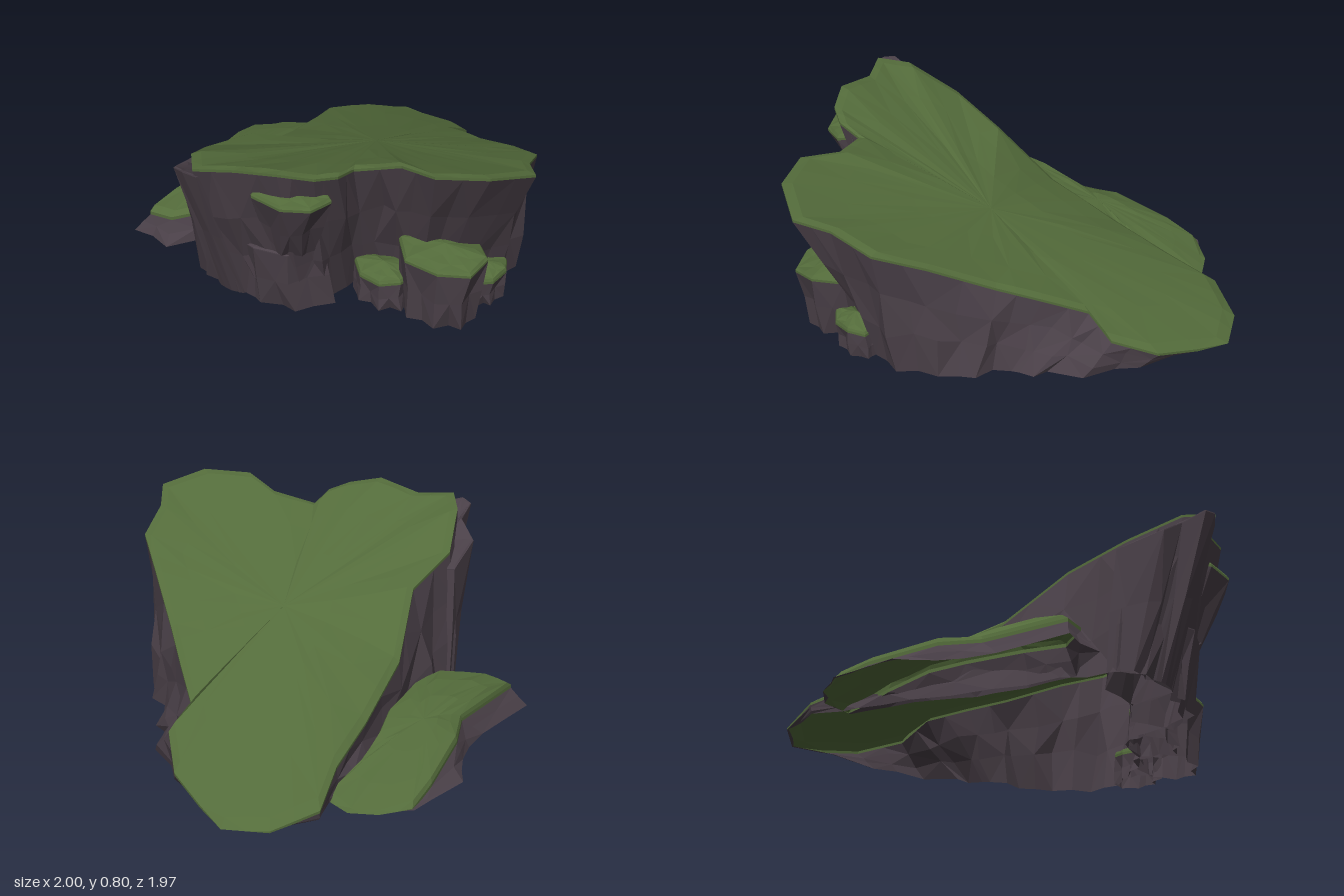
import * as THREE from 'three';

const rockMat = new THREE.MeshStandardMaterial({ color: 0x4a4048, flatShading: true, side: THREE.DoubleSide });
const grassMat = new THREE.MeshStandardMaterial({ color: 0x546c3b, flatShading: true, side: THREE.DoubleSide });

// Repeatable noise in -1..1
const noise = (i, j) => {
  const s = Math.sin(i * 127.1 + j * 311.7 + 4.2) * 43758.5453;
  return 2 * (s - Math.floor(s)) - 1;
};

// Joins closed rings of equal point count into a faceted skin
function skin(name, rings, material) {
  const n = rings[0].length, pos = [], index = [];
  rings.forEach(r => r.forEach(p => pos.push(...p)));
  for (let k = 0; k < rings.length - 1; k++) {
    for (let i = 0; i < n; i++) {
      const a = k * n + i, b = k * n + (i + 1) % n, c = a + n, d = b + n;
      if ((i + k) % 2) index.push(a, b, c, b, d, c);
      else index.push(a, b, d, a, d, c);
    }
  }
  const g = new THREE.BufferGeometry();
  g.setAttribute('position', new THREE.Float32BufferAttribute(pos, 3));
  g.setIndex(index);
  const flat = g.toNonIndexed();
  flat.computeVertexNormals();
  const mesh = new THREE.Mesh(flat, material);
  mesh.name = name;
  return mesh;
}

const mix = (a, b, t) => a.map((v, i) => v + (b[i] - v) * t);

// A rock with a turf cap. Outline rows: top x, y, z, then base x, z; front > left > back > right
function capped(name, rows, { centre, baseY = 0, rough = 0.02, lip = 0.012, capMat = grassMat, levels = [1, 0.5, 0], height }) {
  const top = [], base = [];
  const floor = p => [p[0], Math.max(baseY, p[1]), p[2]];
  rows.forEach((r, i) => {
    const s = rows[(i + 1) % rows.length];
    const t = r.slice(0, 3), b = [r[3], baseY, r[4]];
    const m = mix(t, s.slice(0, 3), 0.5 + 0.1 * noise(i, 1));
    const f = mix(b, [s[3], baseY, s[4]], 0.5 + 0.15 * noise(i, 3));
    // Midpoints cut in towards the centre to make vertical folds
    const fold = rough * (1.2 + noise(i, 4)) / (Math.hypot(f[0] - centre[0], f[2] - centre[2]) || 1);
    f[0] -= (f[0] - centre[0]) * fold;
    f[2] -= (f[2] - centre[2]) * fold;
    top.push(t, m);
    base.push(b, f);
  });
  const rim = top.map(p => floor([p[0], p[1] - lip, p[2]]));
  const under = rim.map(p => floor([p[0], p[1] - lip, p[2]]));

  // Side walls
  const walls = levels.map((t, k) => base.map((b, i) => {
    const p = mix(b, under[i], t);
    if (t > 0 && t < 1) {
      const h = rough * Math.min(1, (under[i][1] - baseY) / 0.2);
      p.forEach((v, j) => { p[j] = v + h * noise(i, 10 * j + k); });
    }
    return floor(p);
  })).reverse();

  // Turf: drooping lip, bevelled rim, then rings in to the centre
  const inner = [0.95, 0.72, 0.38, 0].map((s, k) => top.map((p, i) => {
    const q = mix(centre, p, s);
    if (height) q[1] = height(q[0], q[2]) + (p[1] - height(p[0], p[2])) * s * s;
    if (s) q[1] += 0.003 * noise(i, 40 + k);
    return q;
  }));
  const group = new THREE.Group();
  group.name = name;
  group.add(skin(name + 'Walls', walls, rockMat), skin(name + 'Cap', [under, rim, ...inner], capMat));
  return group;
}

// Small ledge: an irregular rounded block
function ledge(name, x, z, rx, rz, topY, baseY, taper, shift = [0, 0]) {
  const rows = [];
  for (let i = 0; i < 8; i++) {
    const a = (i + 0.5) / 8 * Math.PI * 2, r = 1.04 + 0.08 * noise(i, x * 9);
    const sx = Math.sin(a) * rx * r, sz = Math.cos(a) * rz * r;
    rows.push([x + sx, topY - 0.015 + 0.01 * noise(i, z * 7), z + sz, x + sx * taper + shift[0], z + sz * taper + shift[1]]);
  }
  return capped(name, rows, { centre: [x, topY + 0.015, z], baseY, rough: 0.015 });
}

export function createModel() {
  const model = new THREE.Group();
  model.name = 'grassyCliff';

  // Main cliff: a sloping turf ramp over leaning walls
  const cliff = [
    [-0.07, 0.775, 0.96, -0.08, 0.72], [0.06, 0.77, 0.85, 0.05, 0.68], [0.25, 0.805, 0.8, 0.2, 0.6],
    [0.36, 0.78, 0.7, 0.24, 0.5], [0.4, 0.76, 0.6, 0.25, 0.38], [0.38, 0.73, 0.48, 0.27, 0.28],
    [0.55, 0.77, 0.38, 0.36, 0.22], [0.74, 0.805, 0.4, 0.48, 0.2], [0.92, 0.81, 0.27, 0.58, 0.13],
    [1, 0.765, 0.07, 0.66, 0.02], [0.89, 0.72, -0.04, 0.72, -0.08], [0.81, 0.65, -0.21, 0.72, -0.23],
    [0.61, 0.56, -0.32, 0.6, -0.37], [0.35, 0.42, -0.46, 0.48, -0.48], [0.18, 0.34, -0.56, 0.33, -0.54],
    [0, 0.25, -0.66, 0.28, -0.63], [-0.01, 0.17, -0.8, 0.12, -0.77], [-0.18, 0.09, -0.92, -0.12, -0.87],
    [-0.54, 0, -0.99, -0.54, -0.98], [-0.7, 0.02, -0.87, -0.7, -0.86], [-0.78, 0.06, -0.66, -0.77, -0.66],
    [-0.68, 0.14, -0.46, -0.7, -0.46], [-0.6, 0.21, -0.2, -0.64, -0.22], [-0.48, 0.33, 0.14, -0.53, 0.12],
    [-0.34, 0.56, 0.38, -0.46, 0.42], [-0.31, 0.64, 0.66, -0.38, 0.64], [-0.18, 0.755, 0.86, -0.28, 0.72],
  ];
  model.add(capped('cliff', cliff, {
    centre: [0.05, 0.475, -0.05], levels: [1, 0.66, 0.33, 0],
    height: (x, z) => 0.48 + 0.257 * x + 0.336 * z,
  }));

  // Bare buttress at the front corner
  model.add(capped('buttress', [
    [-0.06, 0.73, 0.95, -0.06, 0.71], [-0.04, 0.64, 0.75, -0.04, 0.5], [-0.22, 0.54, 0.6, -0.25, 0.5],
    [-0.36, 0.57, 0.64, -0.39, 0.6], [-0.3, 0.63, 0.84, -0.34, 0.7], [-0.2, 0.7, 0.87, -0.24, 0.69],
    [-0.17, 0.74, 0.97, -0.18, 0.73], [-0.11, 0.75, 0.98, -0.12, 0.73],
  ], { centre: [-0.18, 0.62, 0.76], rough: 0.012, lip: 0.005, capMat: rockMat }));

  // Low outcrop beside the ramp
  model.add(capped('outcrop', [
    [-0.6, 0.13, 0.62, -0.57, 0.69], [-0.46, 0.16, 0.45, -0.43, 0.48], [-0.48, 0.18, 0.25, -0.45, 0.25],
    [-0.55, 0.17, 0, -0.5, 0.02], [-0.62, 0.14, -0.14, -0.58, -0.15], [-0.67, 0.08, -0.32, -0.63, -0.34],
    [-0.68, 0.02, -0.53, -0.67, -0.53], [-0.82, 0, -0.54, -0.82, -0.54], [-0.92, 0, -0.46, -0.92, -0.46],
    [-0.99, 0.02, -0.33, -1, -0.33], [-0.96, 0.06, -0.18, -1, -0.02], [-0.86, 0.11, 0.1, -0.88, 0.12],
    [-0.76, 0.12, 0.25, -0.8, 0.35], [-0.72, 0.12, 0.64, -0.78, 0.69],
  ], {
    centre: [-0.7, 0.13, 0.06], rough: 0.012, lip: 0.016,
    height: (x, z) => 0.155 + 0.11 * (x + 0.7) + 0.13 * (z - 0.06),
  }));

  // Turfed ledges stepping out of the front and left walls
  model.add(
    ledge('upperLedge', 0.2, 0.69, 0.19, 0.13, 0.67, 0.32, 0.7, [-0.07, -0.06]),
    ledge('middleLedge', 0.68, 0.24, 0.2, 0.16, 0.345, 0, 0.85, [-0.02, 0]),
    ledge('lowerLedge', 0.41, 0.32, 0.14, 0.1, 0.17, 0, 1.05),
    ledge('sideLedge', 0.74, 0.03, 0.08, 0.11, 0.17, 0, 1, [-0.01, 0]),
  );

  // Rock foot under the upper ledge
  model.add(capped('foot', [
    [0.06, 0.33, 0.76, 0.04, 0.71], [0.2, 0.32, 0.7, 0.2, 0.66], [0.27, 0.33, 0.55, 0.29, 0.5],
    [0.1, 0.34, 0.4, 0.1, 0.4], [-0.06, 0.33, 0.5, -0.06, 0.5], [-0.04, 0.32, 0.74, -0.06, 0.7],
  ], { centre: [0.1, 0.33, 0.58], rough: 0.012, lip: 0.005, capMat: rockMat }));

  return model;
}
